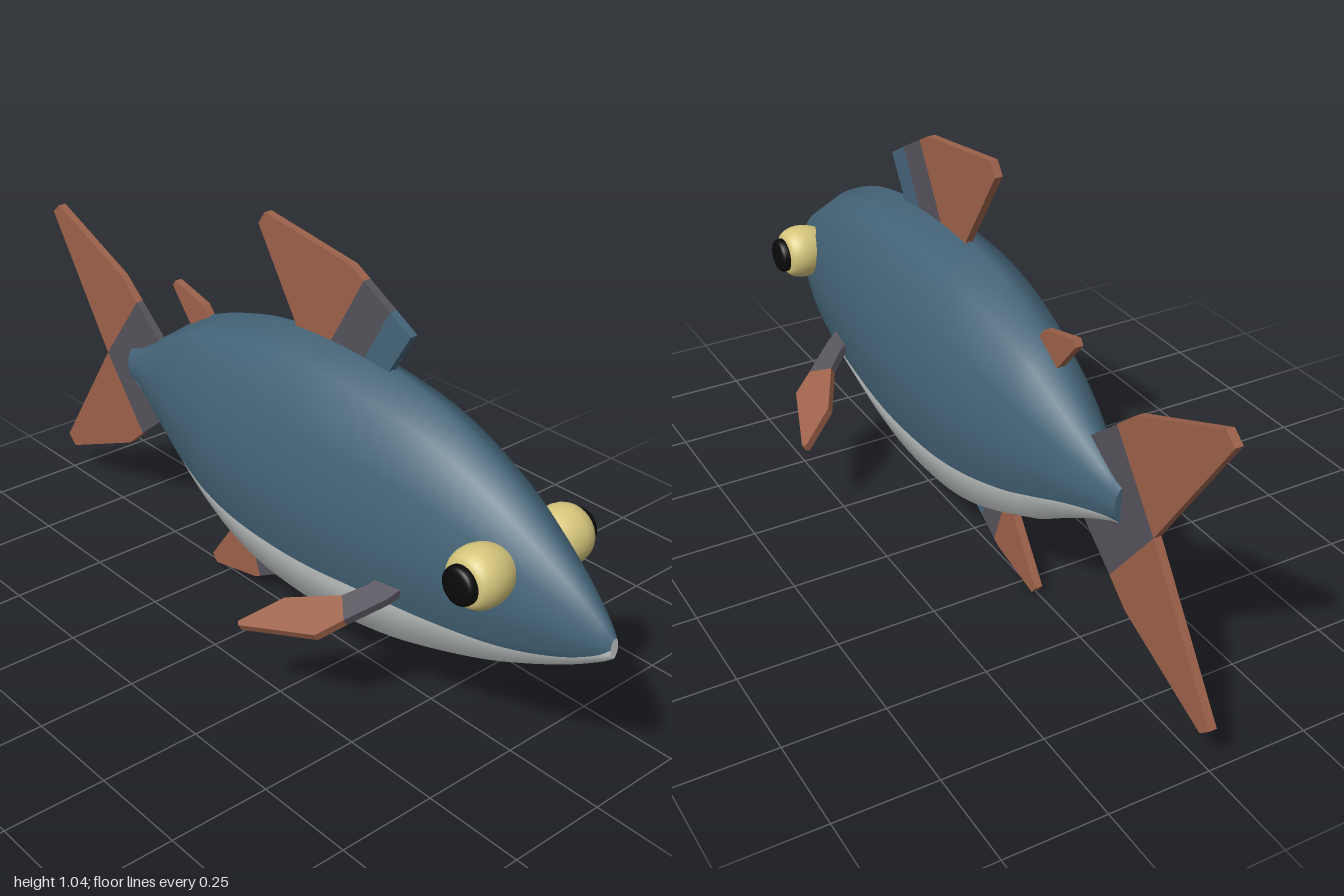
import * as THREE from 'three';

const mat = (name, color, side = THREE.FrontSide) => {
  const m = new THREE.MeshStandardMaterial({ color, side });
  m.name = name;
  return m;
};

// Body stations: z, top, bottom, half width, height of the colour border
const STATIONS = [
  [1, 0.435, 0.385, 0.012, 0.41],
  [0.97, 0.47, 0.362, 0.03, 0.388],
  [0.9, 0.535, 0.318, 0.058, 0.355],
  [0.8, 0.61, 0.265, 0.09, 0.33],
  [0.7, 0.675, 0.22, 0.114, 0.32],
  [0.55, 0.745, 0.168, 0.139, 0.315],
  [0.4, 0.785, 0.13, 0.157, 0.31],
  [0.2, 0.806, 0.106, 0.17, 0.297],
  [0, 0.8, 0.113, 0.166, 0.295],
  [-0.15, 0.769, 0.15, 0.154, 0.309],
  [-0.3, 0.718, 0.215, 0.125, 0.335],
  [-0.4, 0.66, 0.277, 0.099, 0.365],
  [-0.5, 0.594, 0.338, 0.068, 0.398],
  [-0.6, 0.532, 0.392, 0.036, 0.42],
  [-0.65, 0.513, 0.415, 0.027, 0.425],
];
const curve = (f) => new THREE.CatmullRomCurve3(STATIONS.map(f), false, 'catmullrom', 0.5);
const heights = curve((s) => new THREE.Vector3(s[0], s[1], s[2]));
const widths = curve((s) => new THREE.Vector3(s[0], s[3], s[4]));

function section(t) {
  const h = heights.getPoint(t), w = widths.getPoint(t);
  return { z: h.x, c: (h.y + h.z) / 2, ry: (h.y - h.z) / 2, rx: w.y, border: w.z };
}

// x on a unit twelve-sided ring at height t
function ringX(t) {
  const step = Math.PI / 6;
  const k = Math.floor(Math.asin(t) / step + 1e-6);
  const s0 = Math.sin(k * step), s1 = Math.sin((k + 1) * step);
  const f = (t - s0) / (s1 - s0);
  return Math.cos(k * step) * (1 - f) + Math.cos((k + 1) * step) * f;
}

// One colour of the body: e = 1 is above the border, e = -1 below it
function bodyShell(e) {
  const rings = 56, cols = 12, pos = [], nor = [], idx = [];
  for (let i = 0; i <= rings; i++) {
    const t = i / rings;
    const s = section(t);
    const a = section(Math.max(0, t - 0.01)), b = section(Math.min(1, t + 0.01));
    const seam = THREE.MathUtils.clamp((s.border - s.c) / s.ry, -0.98, 0.98);
    for (let k = 0; k <= cols; k++) {
      const raw = -e * Math.cos((k * Math.PI) / 6);
      const v = THREE.MathUtils.clamp(e > 0 ? Math.max(raw, seam) : Math.min(raw, seam), -1, 1);
      const u = e * (k < 6 ? 1 : -1) * ringX(v);
      const nx = u / s.rx, ny = v / s.ry;
      const nz = -(nx * u * (b.rx - a.rx) + ny * (b.c - a.c + v * (b.ry - a.ry))) / (b.z - a.z);
      const n = new THREE.Vector3(nx, ny, nz).normalize();
      pos.push(u * s.rx, s.c + v * s.ry, s.z);
      nor.push(n.x, n.y, n.z);
      if (i < rings && k < cols) {
        const p = i * (cols + 1) + k, q = p + cols + 1;
        idx.push(p, q, p + 1, p + 1, q, q + 1);
      }
    }
  }
  const g = new THREE.BufferGeometry();
  g.setAttribute('position', new THREE.Float32BufferAttribute(pos, 3));
  g.setAttribute('normal', new THREE.Float32BufferAttribute(nor, 3));
  g.setIndex(idx);
  return g;
}

// Flat plate with its thickness centred on the outline plane
function plate(points) {
  const shape = new THREE.Shape(points.map(([x, y]) => new THREE.Vector2(x, y)));
  return new THREE.ExtrudeGeometry(shape, { depth: 0.02, bevelEnabled: false }).translate(0, 0, -0.01);
}

export function createModel() {
  const root = new THREE.Group();
  root.name = 'fish';
  const blue = mat('slate blue', 0x446478);
  const white = mat('belly white', 0xcfd4d3);
  const orange = mat('fin copper', 0x9c614a);
  const grey = mat('fin grey', 0x55525b);
  const yellow = mat('eye yellow', 0xd6c67c, THREE.DoubleSide);
  const black = mat('pupil black', 0x0a0a0a, THREE.DoubleSide);

  const add = (name, geo, material, parent = root) => {
    const m = new THREE.Mesh(geo, material);
    m.name = name;
    parent.add(m);
    return m;
  };

  // Body with closed ends
  add('upperBody', bodyShell(1), blue);
  add('belly', bodyShell(-1), white);
  for (const [name, t, material] of [['noseTip', 0, white], ['tailStump', 1, blue]]) {
    const s = section(t);
    const cap = new THREE.CircleGeometry(1, 12).rotateY(t * Math.PI).scale(s.rx, s.ry, 1);
    add(name, cap.translate(0, s.c, s.z), material);
  }

  // Upright fins, each a list of colour bands with (z, y) outlines
  const fins = {
    dorsalFin: [
      [blue, [[0.4, 0.893], [0.335, 0.93], [0.2, 0.7], [0.28, 0.7]]],
      [grey, [[0.335, 0.93], [0.25, 0.977], [0.085, 0.7], [0.2, 0.7]]],
      [orange, [[0.25, 0.977], [0.208, 1], [-0.087, 1.043], [-0.11, 1.01], [0.02, 0.807], [0.06, 0.7], [0.085, 0.7]]],
    ],
    rearDorsalFin: [
      [orange, [[-0.29, 0.69], [-0.33, 0.735], [-0.445, 0.765], [-0.455, 0.75], [-0.38, 0.66], [-0.37, 0.6], [-0.3, 0.62]]],
    ],
    analFin: [
      [blue, [[-0.03, 0.096], [-0.055, 0.083], [-0.12, 0.2], [-0.1, 0.22]]],
      [grey, [[-0.055, 0.083], [-0.118, 0.048], [-0.18, 0.22], [-0.12, 0.2]]],
      [orange, [[-0.118, 0.048], [-0.14, 0.037], [-0.3, 0.004], [-0.316, 0.025], [-0.21, 0.17], [-0.2, 0.23], [-0.18, 0.22]]],
    ],
    tailFin: [
      [grey, [[-0.5, 0.55], [-0.62, 0.65], [-0.77, 0.455], [-0.62, 0.265], [-0.5, 0.36]]],
      [orange, [[-0.62, 0.65], [-0.685, 0.705], [-0.97, 0.825], [-1, 0.8], [-0.77, 0.455]]],
      [orange, [[-0.62, 0.265], [-0.77, 0.455], [-1, 0.115], [-0.97, 0.088], [-0.685, 0.21]]],
    ],
  };
  for (const [name, bands] of Object.entries(fins)) {
    const fin = new THREE.Group();
    fin.name = name;
    bands.forEach(([material, pts], i) => {
      add(`${name}Band${i + 1}`, plate(pts).rotateY(-Math.PI / 2), material, fin);
    });
    root.add(fin);
  }

  // Paired fins and eyes
  const droop = 0.53;
  const finBands = [
    [grey, [[0.12, 0.52], [0.155, 0.507], [0.235, 0.455], [0.195, 0.405], [0.15, 0.44], [0.12, 0.45]]],
    [orange, [[0.235, 0.455], [0.29, 0.422], [0.357, 0.237], [0.35, 0.228], [0.26, 0.285], [0.195, 0.405]]],
  ];
  const lathe = (pts) => new THREE.LatheGeometry(
    new THREE.SplineCurve(pts.map(([r, x]) => new THREE.Vector2(r, x))).getPoints(16), 28);
  const eyeball = [[0.05, 0.06], [0.065, 0.095], [0.07, 0.125], [0.067, 0.15], [0.056, 0.17], [0.04, 0.177]];
  const pupil = [[0.043, 0.165], [0.045, 0.183], [0.037, 0.196], [0, 0.201]];
  for (const side of [1, -1]) {
    const label = side > 0 ? 'left' : 'right';
    const fin = new THREE.Group();
    fin.name = `${label}PectoralFin`;
    fin.position.set(side * 0.15, 0.345, 0);
    fin.rotation.z = -side * droop;
    finBands.forEach(([material, pts], i) => {
      const outline = pts.map(([x, z]) => [(side * (x - 0.15)) / Math.cos(droop), z]);
      add(`${label}PectoralBand${i + 1}`, plate(outline).rotateX(Math.PI / 2), material, fin);
    });
    root.add(fin);

    const eye = new THREE.Group();
    eye.name = `${label}Eye`;
    eye.position.set(0, 0.509, 0.74);
    eye.rotation.z = (-side * Math.PI) / 2;
    add(`${label}Eyeball`, lathe(eyeball), yellow, eye);
    add(`${label}Pupil`, lathe(pupil), black, eye);
    root.add(eye);
  }
  return root;
}
